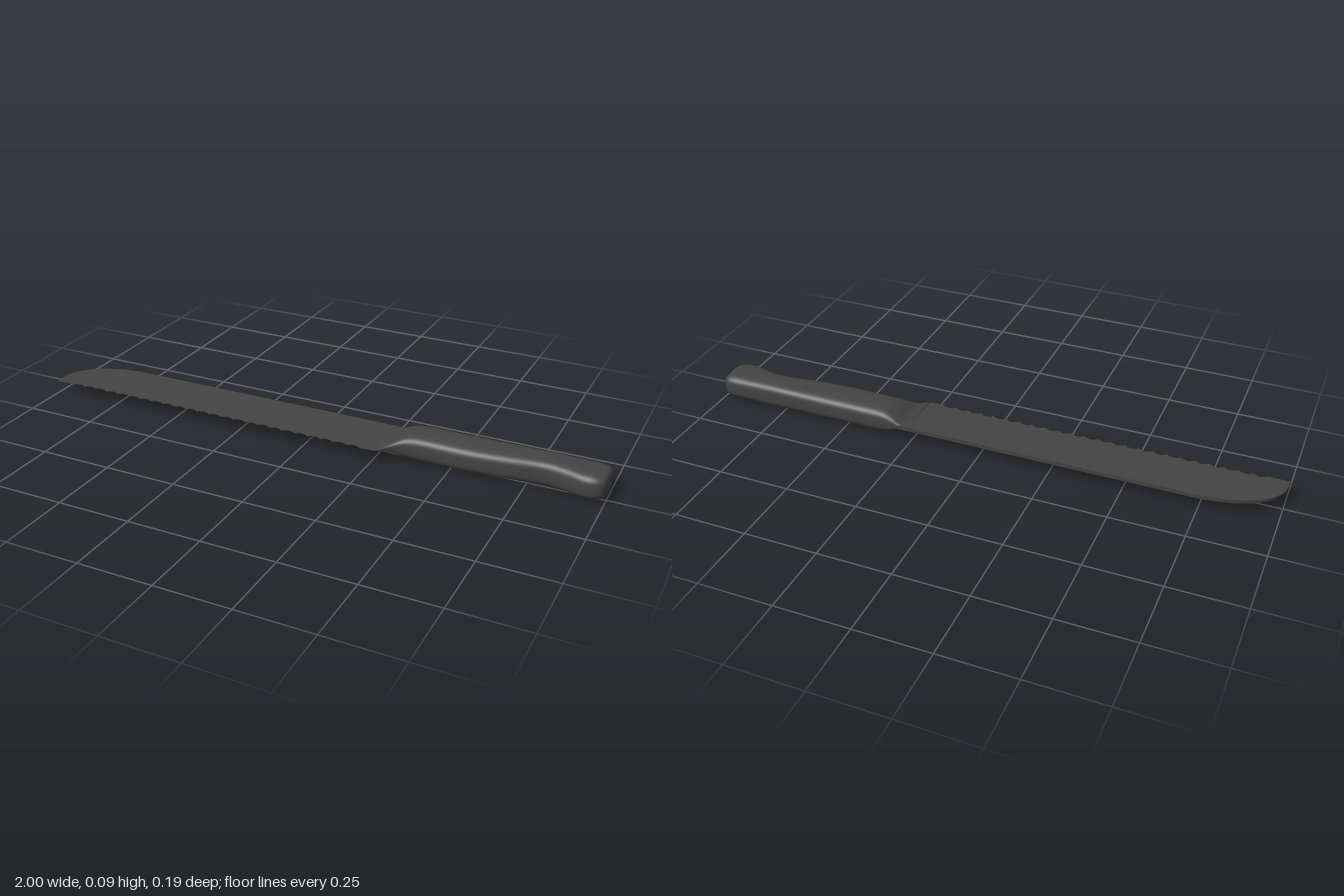
import * as THREE from 'three';
import { toCreasedNormals } from 'three/addons/utils/BufferGeometryUtils.js';

const MID = 0.044; // height of the blade plane
const SPINE = -0.097, EDGE = 0.093; // z of the blade's back and cutting edge

function bladeGeometry() {
  // Outline drawn in x and -z
  const s = new THREE.Shape();
  s.moveTo(-1, -EDGE);
  s.lineTo(-0.93, -EDGE);
  // Scalloped serrations
  const count = 24, from = -0.93, pitch = 1.14 / count;
  for (let i = 0; i < count; i++) {
    const x = from + i * pitch;
    s.quadraticCurveTo(x + pitch / 2, -EDGE + 0.024, x + pitch, -EDGE);
  }
  // Heel, running on inside the handle
  s.lineTo(0.265, -0.09);
  s.lineTo(0.3, -0.05);
  s.lineTo(0.4, 0);
  s.lineTo(0.4, 0.09);
  s.lineTo(0.3, -SPINE);
  s.lineTo(-0.73, -SPINE);
  // Rounded tip
  s.bezierCurveTo(-0.88, -SPINE, -1, 0.035, -1, -0.06);
  s.closePath();

  const g = new THREE.ExtrudeGeometry(s, { depth: 1, bevelEnabled: false, curveSegments: 10 });
  g.rotateX(-Math.PI / 2);
  // Wedge section: thick at the spine, thin at the edge
  const p = g.attributes.position;
  for (let i = 0; i < p.count; i++) {
    const k = (p.getZ(i) - SPINE) / (EDGE - SPINE);
    p.setY(i, MID + (p.getY(i) * 2 - 1) * THREE.MathUtils.lerp(0.007, 0.001, k));
  }
  return toCreasedNormals(g, 0.6);
}

function handleGeometry() {
  // Stations along the handle: x, back z, front z, half height
  const stations = [
    [0.262, -0.096, 0.089, 0.005],
    [0.28, -0.096, 0.076, 0.009],
    [0.3, -0.097, 0.06, 0.017],
    [0.325, -0.097, 0.047, 0.031],
    [0.36, -0.097, 0.039, 0.042],
    [0.42, -0.097, 0.036, 0.044],
    [0.54, -0.097, 0.038, 0.044],
    [0.67, -0.097, 0.029, 0.044],
    [0.8, -0.097, 0.013, 0.044],
    [0.87, -0.097, 0.023, 0.044],
    [0.92, -0.097, 0.037, 0.044],
    [0.955, -0.097, 0.04, 0.044],
    [0.98, -0.094, 0.034, 0.041],
    [0.994, -0.085, 0.022, 0.035],
    [1, -0.07, 0.005, 0.026],
  ];
  const back = new THREE.CatmullRomCurve3(stations.map(r => new THREE.Vector3(r[0], r[1], 0)), false, 'catmullrom');
  const front = new THREE.CatmullRomCurve3(stations.map(r => new THREE.Vector3(r[0], r[2], r[3])), false, 'catmullrom');
  const rings = (stations.length - 1) * 4, sides = 40;
  const pos = [], idx = [];
  const soft = v => Math.sign(v) * Math.abs(v) ** (2 / 3.4); // rounded-box section

  for (let i = 0; i <= rings; i++) {
    const b = back.getPoint(i / rings), f = front.getPoint(i / rings);
    const centre = (b.y + f.y) / 2, half = (f.y - b.y) / 2;
    for (let j = 0; j < sides; j++) {
      const a = (j / sides) * Math.PI * 2;
      pos.push(f.x, MID + soft(Math.sin(a)) * f.z, centre + soft(Math.cos(a)) * half);
      if (i === rings) continue;
      const p = i * sides + j, q = i * sides + (j + 1) % sides;
      idx.push(p, p + sides, q, q, p + sides, q + sides);
    }
  }
  // End caps
  const n = pos.length / 3, last = rings * sides;
  pos.push(0.262, MID, 0, 1, MID, -0.033);
  for (let j = 0; j < sides; j++) {
    const k = (j + 1) % sides;
    idx.push(n, j, k, n + 1, last + k, last + j);
  }
  const g = new THREE.BufferGeometry();
  g.setAttribute('position', new THREE.Float32BufferAttribute(pos, 3));
  g.setIndex(idx);
  g.computeVertexNormals();
  return g;
}

export function createModel() {
  const group = new THREE.Group();
  group.name = 'breadKnife';
  const add = (name, geometry) => {
    const mesh = new THREE.Mesh(geometry, new THREE.MeshStandardMaterial({ color: 0x444444 }));
    mesh.name = name;
    group.add(mesh);
  };
  add('blade', bladeGeometry());
  add('handle', handleGeometry());
  return group;
}
